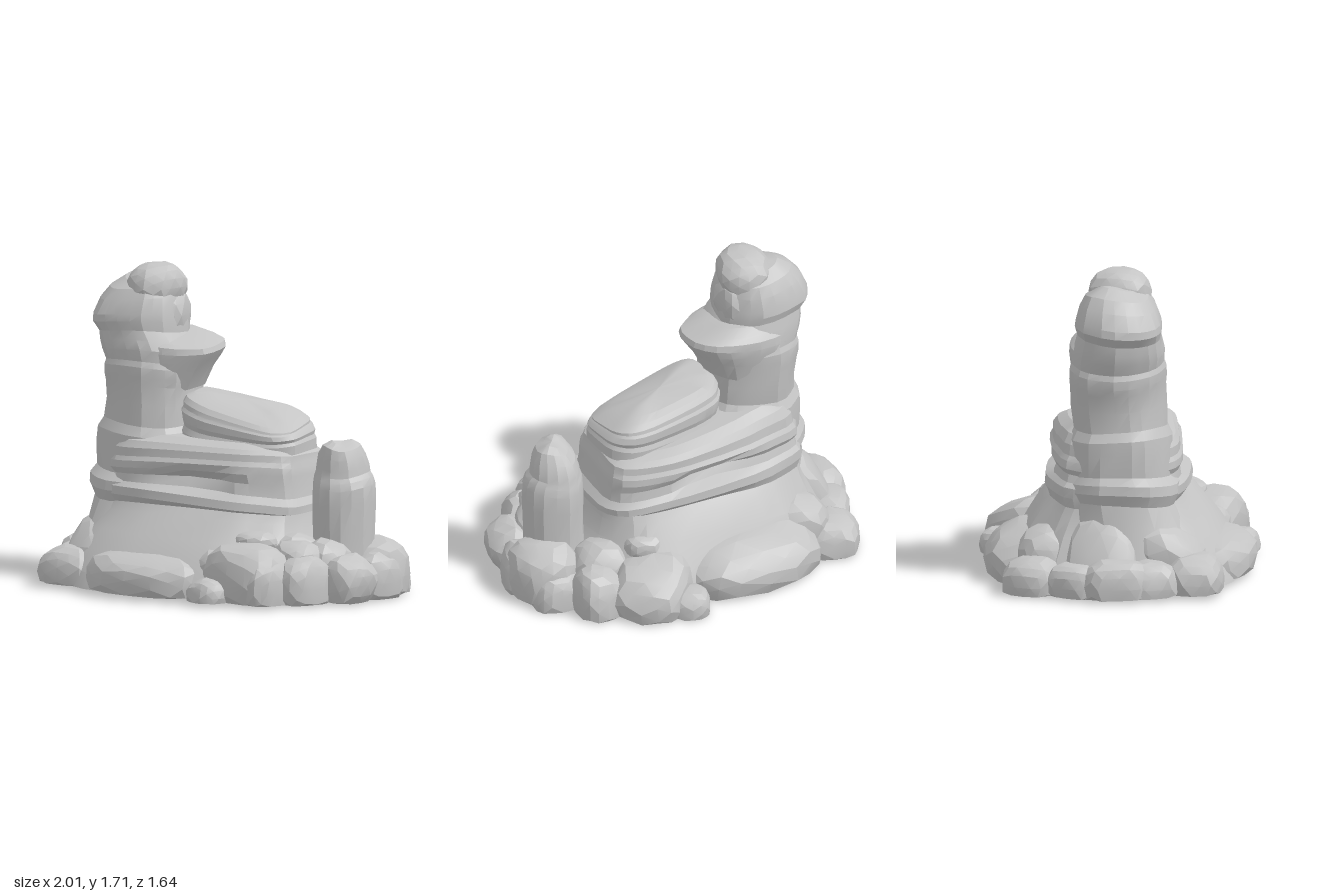
import * as THREE from 'three';
import { mergeVertices, toCreasedNormals } from 'three/addons/utils/BufferGeometryUtils.js';

const stone = new THREE.MeshStandardMaterial({ color: 0xc4c4c4 });
stone.name = 'stone grey';

// The ground cut is very slightly tilted
const floorAt = (z) => Math.max(0, 0.014 + 0.014 * z);
const wobble = (x, y, z, s) =>
  Math.sin(7 * x + 3 * z + s) * Math.cos(6 * y - 5 * z + 2 * s) + 0.6 * Math.sin(13 * z - 9 * x + 5 * y + 3 * s);
const squash = (v, p) => Math.sign(v) * Math.pow(Math.abs(v), p);

function rockMesh(name, geometry) {
  const mesh = new THREE.Mesh(toCreasedNormals(geometry, 0.3), stone);
  mesh.name = name;
  return mesh;
}

// Stack of rounded rings: [y, centre x, centre z, half length, half width, slope along x, dent]
function strata(name, rings, { turn = 0, power = 0.7, sides = 30, seed = 1, rough = 0.025 }) {
  const pos = [], index = [];
  const c = Math.cos(turn), s = Math.sin(turn);
  for (const [y, cx, cz, a, b, slope = 0, dent = 0] of rings) {
    for (let i = 0; i < sides; i++) {
      const t = (i / sides) * Math.PI * 2;
      const ct = Math.cos(t), st = Math.sin(t);
      const k = 1 + rough * wobble(ct * 0.6, y, st * 0.6, seed);
      const hollow = 1 - dent * Math.exp(-Math.pow((ct - 0.05) / 0.2, 2));
      const u = a * k * squash(ct, power), v = b * k * hollow * squash(st, power);
      const x = u * c + v * s, z = cz - u * s + v * c;
      const lift = 0.014 * Math.sin(2 * t + seed + y * 5);
      pos.push(cx + x, Math.max(floorAt(z), y + slope * x + lift), z);
    }
  }
  for (let r = 0; r < rings.length - 1; r++) {
    for (let i = 0; i < sides; i++) {
      const p = r * sides + i, q = r * sides + ((i + 1) % sides);
      index.push(p, p + sides, q, q, p + sides, q + sides);
    }
  }
  // Caps
  const last = (rings.length - 1) * sides, mid = pos.length / 3;
  const [first, top] = [rings[0], rings[rings.length - 1]];
  pos.push(first[1], Math.max(floorAt(first[2]), first[0]), first[2], top[1], top[0] + 0.008, top[2]);
  for (let i = 0; i < sides; i++) {
    const j = (i + 1) % sides;
    index.push(mid, i, j, mid + 1, last + j, last + i);
  }
  const g = new THREE.BufferGeometry();
  g.setAttribute('position', new THREE.Float32BufferAttribute(pos, 3));
  g.setIndex(index);
  return rockMesh(name, g);
}

// Worn, faceted block cut off at the ground
function boulder(name, [x, y, z, rx, ry, rz, turn = 0, lean = 0, tilt = 0], seed, power = 0.8) {
  let g = new THREE.IcosahedronGeometry(1, 2);
  g.deleteAttribute('uv');
  g.deleteAttribute('normal');
  g = mergeVertices(g, 1e-4);
  const p = g.attributes.position, v = new THREE.Vector3();
  const rot = new THREE.Euler(tilt, turn, lean, 'YXZ');
  for (let i = 0; i < p.count; i++) {
    v.fromBufferAttribute(p, i);
    const k = 1 + 0.04 * wobble(v.x * 0.5, v.y * 0.5, v.z * 0.5, seed * 1.7);
    v.set(squash(v.x, power) * rx, squash(v.y, power) * ry, squash(v.z, power) * rz).multiplyScalar(k * 0.97);
    v.applyEuler(rot);
    v.x += x; v.y += y; v.z += z;
    v.y = Math.max(v.y, floorAt(v.z));
    p.setXYZ(i, v.x, v.y, v.z);
  }
  return rockMesh(name, g);
}

export function createModel() {
  const model = new THREE.Group();
  model.name = 'rockFormation';

  // Wide layered body with a hollow halfway along both long sides
  model.add(strata('layeredBody', [
    [-0.08, -0.06, 0.05, 0.76, 0.61], [0.1, -0.06, 0.05, 0.75, 0.61],
    [0.21, -0.08, 0.05, 0.69, 0.55], [0.31, -0.09, 0.04, 0.64, 0.48],
    [0.41, -0.09, 0.03, 0.6, 0.4], [0.455, -0.09, 0.03, 0.59, 0.37, 0, 0.04],
    [0.485, -0.08, 0.03, 0.61, 0.39, -0.04], [0.53, -0.08, 0.03, 0.61, 0.385, -0.05],
    [0.56, -0.09, 0.03, 0.585, 0.355, -0.04, 0.16], [0.61, -0.09, 0.03, 0.575, 0.345, -0.02, 0.22],
    [0.65, -0.1, 0.03, 0.58, 0.36, 0, 0.08], [0.69, -0.1, 0.03, 0.575, 0.355],
    [0.715, -0.1, 0.03, 0.565, 0.34], [0.76, -0.1, 0.03, 0.56, 0.335, -0.02],
    [0.795, -0.1, 0.03, 0.53, 0.31, -0.05], [0.825, -0.1, 0.02, 0.46, 0.25, -0.07],
  ], { turn: 0.4, power: 0.65, sides: 36, seed: 2, rough: 0.03 }));

  // Sloping slab on the body
  model.add(strata('upperSlab', [
    [0.76, 0.1, -0.05, 0.35, 0.225, -0.04], [0.82, 0.1, -0.05, 0.35, 0.225, -0.06],
    [0.845, 0.1, -0.05, 0.34, 0.215, -0.08], [0.87, 0.1, -0.05, 0.345, 0.225, -0.1],
    [0.91, 0.09, -0.045, 0.34, 0.225, -0.15], [0.925, 0.09, -0.045, 0.33, 0.215, -0.17],
    [0.945, 0.09, -0.045, 0.33, 0.21, -0.2], [0.972, 0.08, -0.04, 0.305, 0.19, -0.22],
    [0.995, 0.07, -0.04, 0.26, 0.15, -0.22], [1.01, 0.07, -0.04, 0.18, 0.09, -0.22],
  ], { turn: 0.42, power: 0.58, sides: 32, seed: 4, rough: 0.015 }));

  // Tall tower, swelling where the body layers wrap round it
  model.add(strata('tower', [
    [0.15, -0.43, 0.27, 0.33, 0.38], [0.36, -0.42, 0.22, 0.3, 0.31],
    [0.47, -0.42, 0.19, 0.29, 0.285], [0.53, -0.42, 0.19, 0.315, 0.31],
    [0.58, -0.42, 0.19, 0.31, 0.305], [0.62, -0.42, 0.18, 0.285, 0.275],
    [0.74, -0.42, 0.18, 0.29, 0.275], [0.82, -0.42, 0.18, 0.285, 0.27],
    [0.87, -0.42, 0.18, 0.255, 0.245], [0.98, -0.42, 0.17, 0.25, 0.25],
    [1.08, -0.43, 0.17, 0.255, 0.25], [1.12, -0.43, 0.17, 0.265, 0.255],
    [1.17, -0.43, 0.17, 0.265, 0.255], [1.2, -0.43, 0.17, 0.255, 0.245],
    [1.26, -0.44, 0.18, 0.265, 0.245], [1.31, -0.46, 0.19, 0.255, 0.235],
    [1.36, -0.48, 0.2, 0.235, 0.225], [1.41, -0.5, 0.205, 0.255, 0.235],
    [1.45, -0.5, 0.205, 0.25, 0.23], [1.53, -0.49, 0.195, 0.225, 0.205],
    [1.59, -0.48, 0.185, 0.185, 0.17], [1.635, -0.48, 0.18, 0.11, 0.1],
  ], { turn: 0.3, power: 0.87, sides: 24, seed: 5 }));

  // Shelf jutting from the tower, and the rounded cap
  model.add(strata('towerShelf', [
    [1.05, -0.38, 0.13, 0.21, 0.2], [1.15, -0.38, 0.13, 0.26, 0.225, 0.04],
    [1.21, -0.38, 0.125, 0.3, 0.235, 0.04], [1.255, -0.38, 0.125, 0.325, 0.24, 0.03],
    [1.295, -0.38, 0.125, 0.315, 0.235, 0], [1.32, -0.38, 0.125, 0.265, 0.21, -0.03],
    [1.35, -0.4, 0.13, 0.19, 0.16, -0.05],
  ], { turn: 0.4, power: 0.92, sides: 24, seed: 3 }));
  model.add(boulder('towerHeadBack', [-0.39, 1.44, 0.135, 0.14, 0.15, 0.14, 0.3], 2));
  model.add(boulder('towerCap', [-0.405, 1.59, 0.17, 0.15, 0.135, 0.175, 0.1], 3, 0.92));

  // Small pillar beside the body
  model.add(strata('smallPillar', [
    [0.1, 0.66, -0.24, 0.17, 0.17], [0.32, 0.665, -0.24, 0.16, 0.165],
    [0.5, 0.665, -0.24, 0.165, 0.17], [0.6, 0.665, -0.24, 0.16, 0.165],
    [0.64, 0.66, -0.24, 0.15, 0.155], [0.665, 0.655, -0.24, 0.135, 0.145],
    [0.7, 0.655, -0.24, 0.13, 0.14], [0.76, 0.66, -0.23, 0.115, 0.125],
    [0.81, 0.67, -0.22, 0.085, 0.105], [0.835, 0.67, -0.22, 0.045, 0.06],
  ], { power: 0.87, sides: 16, seed: 6 }));

  // Large slabs around the foot: x, y, z, radii, turn, lean, tilt
  const slabs = [
    [-0.01, 0.1, 0.56, 0.38, 0.15, 0.22, 0.25, 0, 0.15],
    [-0.38, 0.1, -0.37, 0.42, 0.19, 0.24, 0.35, 0, -0.3],
    [-0.53, 0.08, 0.65, 0.18, 0.15, 0.17, 0.3],
    [-0.48, 0.19, 0.45, 0.2, 0.18, 0.26, 0.3, 0, 0.5],
    [-0.73, 0.18, 0.2, 0.12, 0.28, 0.2, 0.2, -0.5],
    [0.18, 0.1, -0.58, 0.22, 0.18, 0.25, -0.35, 0, -0.3],
    [0.53, 0.12, 0.3, 0.27, 0.22, 0.21, 0.2],
    [0.74, 0.12, -0.39, 0.19, 0.21, 0.2, 0.6],
  ];
  slabs.forEach((d, i) => model.add(boulder('footSlab' + (i + 1), d, i + 4)));

  // Boulders and stones piled round the edge
  const stones = [
    [-0.84, 0.06, -0.15, 0.16, 0.15, 0.17], [-0.85, 0.07, 0.1, 0.13, 0.13, 0.16],
    [-0.81, 0.08, 0.32, 0.14, 0.15, 0.2, 0.5], [-0.71, 0.07, 0.46, 0.14, 0.14, 0.17, 0.6],
    [-0.65, 0.15, -0.14, 0.18, 0.19, 0.17, 0.2, 0.3], [0.44, 0.05, 0.5, 0.12, 0.1, 0.125],
    [0.7, 0.08, 0.3, 0.1, 0.18, 0.16], [0.79, 0.1, 0.13, 0.11, 0.18, 0.16],
    [0.87, 0.11, -0.1, 0.14, 0.16, 0.16, 0.2, -0.45], [0.84, 0.1, -0.32, 0.12, 0.17, 0.15],
    [0.68, 0.05, -0.5, 0.15, 0.16, 0.13, 0.2], [0.47, 0.07, -0.59, 0.14, 0.19, 0.16, 0.3],
    [-0.02, 0.04, -0.68, 0.11, 0.11, 0.11], [0.43, 0.12, -0.42, 0.17, 0.2, 0.16],
    [0.2, 0.29, -0.44, 0.12, 0.08, 0.1], [-0.01, 0.28, -0.4, 0.08, 0.07, 0.07],
    [0.27, 0.27, 0.31, 0.09, 0.065, 0.08], [0.45, 0.31, 0.2, 0.13, 0.065, 0.11],
    [0.68, 0.23, 0.09, 0.14, 0.11, 0.13], [0.52, 0.2, 0.0, 0.17, 0.16, 0.16],
    [0.72, 0.14, -0.07, 0.15, 0.2, 0.16], [0.33, 0.15, 0.36, 0.14, 0.14, 0.14],
  ];
  stones.forEach((d, i) => model.add(boulder('edgeStone' + (i + 1), d, i + 13)));

  return model;
}
